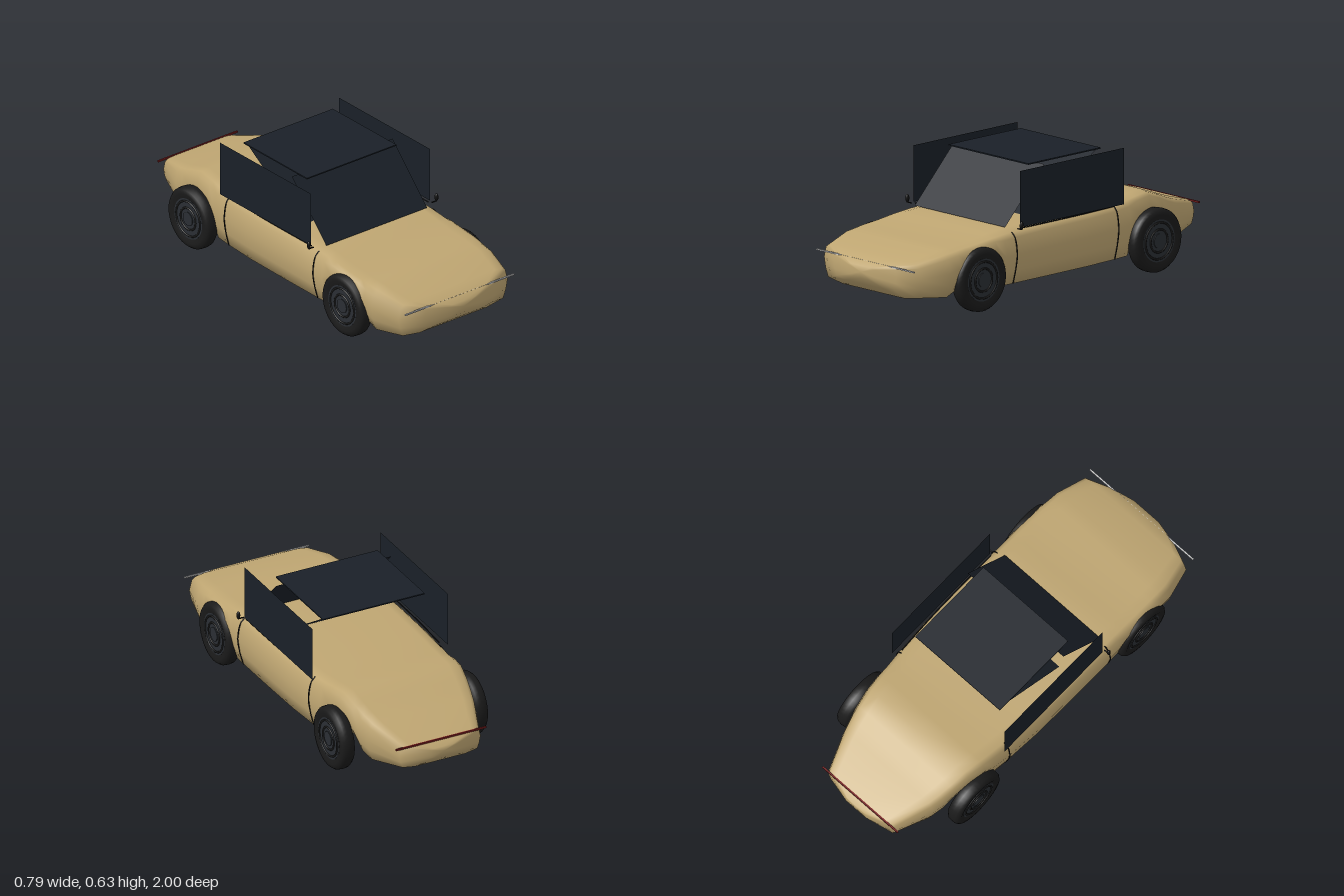
import * as THREE from 'three';

const paint = (color, side = THREE.FrontSide) => new THREE.MeshStandardMaterial({ color, side });
const tan = paint(0xbfa672);
const glass = paint(0x1a2028, THREE.DoubleSide);
const rubber = paint(0x1a1a1a);
const rimGrey = paint(0x2a2e33);
const black = paint(0x111111);
const chrome = paint(0xcccccc);
const red = paint(0x7a1f1f);

// Body stations, nose to tail: z, half width, top, bottom
const STATIONS = [
  [1, 0.09, 0.23, 0.17], [0.97, 0.21, 0.252, 0.135], [0.92, 0.33, 0.277, 0.095],
  [0.77, 0.37, 0.31, 0.076], [0.71, 0.373, 0.315, 0.105], [0.66, 0.374, 0.319, 0.18],
  [0.57, 0.375, 0.325, 0.2], [0.47, 0.376, 0.338, 0.18], [0.41, 0.377, 0.348, 0.07],
  [0.34, 0.378, 0.353, 0.07], [0.1, 0.378, 0.36, 0.07], [-0.15, 0.374, 0.362, 0.07],
  [-0.33, 0.362, 0.366, 0.07], [-0.42, 0.352, 0.373, 0.07], [-0.48, 0.345, 0.378, 0.18],
  [-0.57, 0.333, 0.385, 0.2], [-0.66, 0.318, 0.353, 0.18], [-0.72, 0.305, 0.331, 0.115],
  [-0.78, 0.288, 0.31, 0.095], [-0.96, 0.215, 0.255, 0.13], [-1, 0.07, 0.225, 0.175],
];

// Half section on +x, from bottom centre to top centre
function halfSection([z, w, top, bot]) {
  const h = top - bot;
  return [[0, 0], [0.62, 0], [0.92, 0.09], [0.97, 0.33], [1, 0.6], [0.96, 0.88], [0.9, 0.96], [0.76, 1], [0, 1]]
    .map(([u, v]) => new THREE.Vector3(u * w, bot + v * h, z));
}

function stationAt(z) {
  const i = STATIONS.findIndex((s) => s[0] <= z);
  const a = STATIONS[i - 1], b = STATIONS[i];
  const t = (z - a[0]) / (b[0] - a[0]);
  return a.map((v, k) => v + (b[k] - v) * t);
}

function bodyGeometry() {
  const rings = STATIONS.map((s) => {
    const half = halfSection(s);
    const mirrored = half.slice(1, -1).reverse().map((p) => new THREE.Vector3(-p.x, p.y, p.z));
    return [...half, ...mirrored];
  });
  const n = rings[0].length, last = rings.length - 1;
  const points = rings.flat();
  const index = [];
  for (let i = 0; i < last; i++) {
    for (let j = 0; j < n; j++) {
      const k = (j + 1) % n;
      const a = i * n + j, b = i * n + k, c = b + n, d = a + n;
      index.push(a, d, b, b, d, c);
    }
  }
  // Nose and tail caps
  for (const [i, flip] of [[0, false], [last, true]]) {
    const [z, , top, bot] = STATIONS[i];
    const centre = points.push(new THREE.Vector3(0, (top + bot) / 2, z)) - 1;
    for (let j = 0; j < n; j++) {
      const a = i * n + j, b = i * n + (j + 1) % n;
      index.push(centre, flip ? b : a, flip ? a : b);
    }
  }
  const g = new THREE.BufferGeometry().setFromPoints(points);
  g.setIndex(index);
  g.computeVertexNormals();
  return g;
}

// Flat rectangle spanning x, between a lower and an upper (y, z) edge
function slopedPane(halfWidth, [y0, z0], [y1, z1]) {
  const g = new THREE.PlaneGeometry(halfWidth * 2, 1);
  const p = g.attributes.position;
  for (let i = 0; i < p.count; i++) {
    const t = p.getY(i) + 0.5;
    p.setXYZ(i, p.getX(i), y0 + (y1 - y0) * t, z0 + (z1 - z0) * t);
  }
  g.computeVertexNormals();
  return g;
}

function createWheel() {
  const wheel = new THREE.Group();
  const profile = [[0.1, -0.03], [0.125, -0.037], [0.143, -0.033], [0.153, -0.02], [0.155, 0],
    [0.153, 0.02], [0.143, 0.033], [0.125, 0.037], [0.1, 0.03]].map(([r, y]) => new THREE.Vector2(r, y));
  const add = (name, g, material) => {
    const mesh = new THREE.Mesh(g, material);
    mesh.name = name;
    mesh.rotation.z = -Math.PI / 2;
    wheel.add(mesh);
  };
  add('tyre', new THREE.LatheGeometry(profile, 40), rubber);
  add('rim', new THREE.CylinderGeometry(0.102, 0.102, 0.062, 40), rimGrey);
  add('hub', new THREE.CylinderGeometry(0.035, 0.035, 0.07, 24), rimGrey);
  for (const r of [0.055, 0.088]) {
    for (const s of [-1, 1]) {
      const g = new THREE.TorusGeometry(r, 0.005, 8, 40).rotateX(Math.PI / 2).translate(0, s * 0.031, 0);
      add('rimRing', g, rubber);
    }
  }
  return wheel;
}

export function createModel() {
  const model = new THREE.Group();
  model.name = 'car';
  const add = (name, g, material, x = 0, y = 0, z = 0) => {
    const mesh = new THREE.Mesh(g, material);
    mesh.name = name;
    mesh.position.set(x, y, z);
    model.add(mesh);
    return mesh;
  };

  add('body', bodyGeometry(), tan);

  // Cabin panes
  add('windshield', slopedPane(0.305, [0.36, 0.355], [0.622, 0.1]), glass);
  add('rearWindow', slopedPane(0.26, [0.36, 0.12], [0.622, -0.28]), glass);
  add('roof', new THREE.BoxGeometry(0.54, 0.006, 0.47), glass, 0, 0.627, -0.065);

  // Light bars
  add('frontLightBar', new THREE.BoxGeometry(0.66, 0.006, 0.008), chrome, 0, 0.248, 0.968);
  add('rearLightBar', new THREE.BoxGeometry(0.48, 0.008, 0.008), red, 0, 0.25, -0.97);

  for (const s of [-1, 1]) {
    const side = s > 0 ? 'left' : 'right';
    add(side + 'SideWindow', new THREE.PlaneGeometry(0.675, 0.272).rotateY(s * Math.PI / 2), glass,
      s * 0.36, 0.497, -0.027);

    // Door seams follow the body surface
    for (const z of [0.345, -0.33]) {
      const path = halfSection(stationAt(z)).slice(2, 7).map((p) => new THREE.Vector3(s * p.x, p.y, p.z));
      add(side + 'DoorSeam', new THREE.TubeGeometry(new THREE.CatmullRomCurve3(path), 20, 0.003, 6), black);
    }
    const belt = [0.31, 0.1, -0.1, -0.32].map((z) => {
      const p = halfSection(stationAt(z))[6];
      return new THREE.Vector3(s * (p.x + 0.012), 0.355, z);
    });
    add(side + 'BeltLine', new THREE.TubeGeometry(new THREE.CatmullRomCurve3(belt), 16, 0.003, 6), black);

    // Mirror
    add(side + 'Mirror', new THREE.SphereGeometry(1, 20, 14).scale(0.009, 0.02, 0.01), black, s * 0.386, 0.377, 0.325);
    add(side + 'MirrorStalk', new THREE.BoxGeometry(0.03, 0.004, 0.006), black, s * 0.373, 0.358, 0.325);

    for (const [end, z] of [['Front', 0.57], ['Rear', -0.57]]) {
      const wheel = createWheel();
      wheel.name = side + end + 'Wheel';
      wheel.position.set(s * 0.353, 0.155, z);
      model.add(wheel);
    }
  }
  return model;
}
